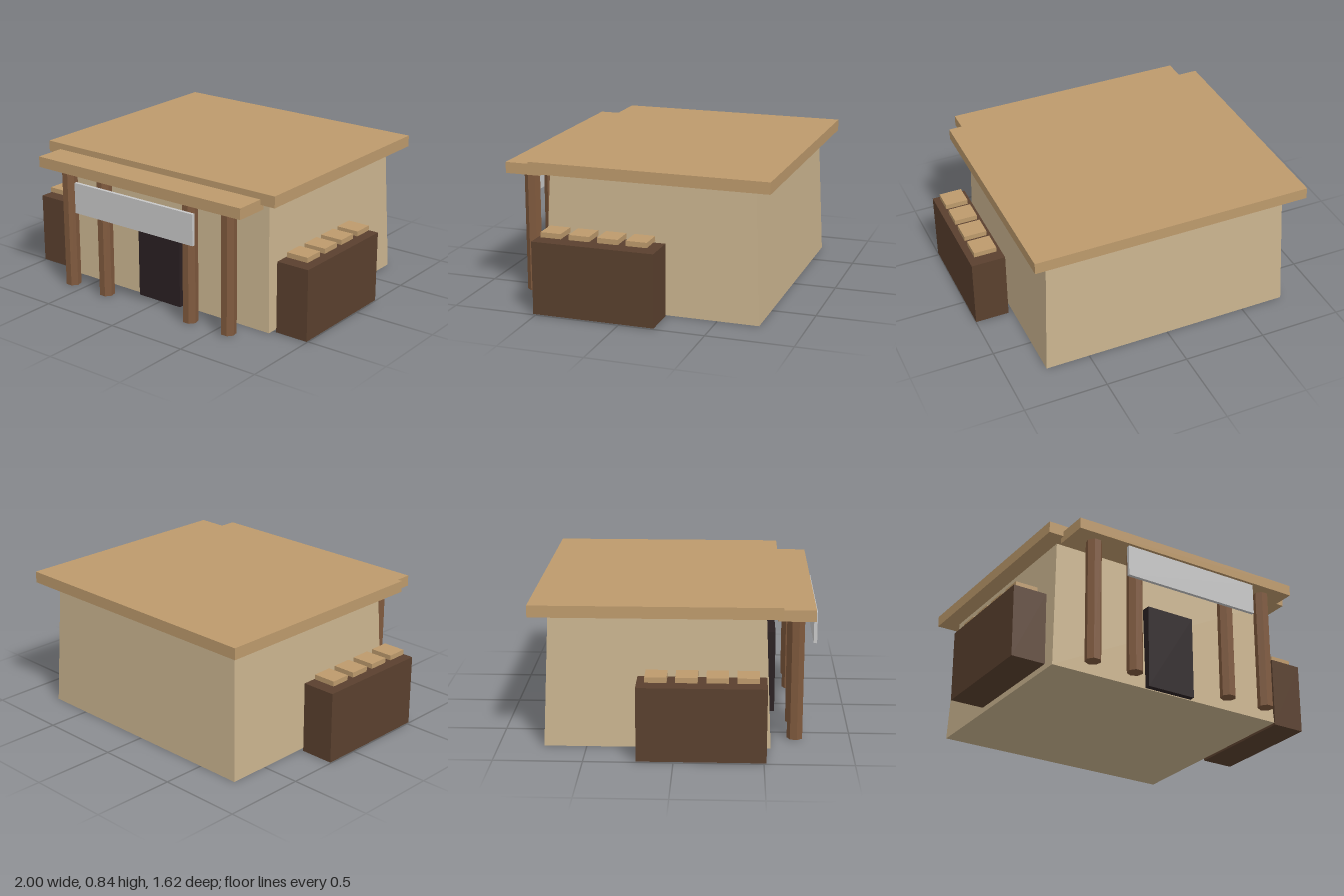
import * as THREE from 'three';

const mat = (name, color) => {
  const m = new THREE.MeshStandardMaterial({ color });
  m.name = name;
  return m;
};

export function createModel() {
  const group = new THREE.Group();
  const plaster = mat('sand plaster', 0xc9b38e);
  const roofTan = mat('roof tan', 0xbd9a6c);
  const post = mat('post brown', 0x7f593d);
  const crate = mat('dark wood', 0x5a402e);
  const door = mat('door black', 0x2a2022);
  const sign = mat('sign grey', 0xc8c8c8);

  const add = (name, geometry, material) => {
    const mesh = new THREE.Mesh(geometry, material);
    mesh.name = name;
    group.add(mesh);
    return mesh;
  };

  // box given by its extents on each axis
  const box = (name, material, [x0, x1], [y0, y1], [z0, z1]) => {
    const mesh = add(name, new THREE.BoxGeometry(x1 - x0, y1 - y0, z1 - z0), material);
    mesh.position.set((x0 + x1) / 2, (y0 + y1) / 2, (z0 + z1) / 2);
    return mesh;
  };

  // walls lean inwards towards the roof
  const wallGeo = new THREE.BoxGeometry(1.53, 0.78, 1.284);
  const p = wallGeo.attributes.position;
  for (let i = 0; i < p.count; i++) {
    if (p.getY(i) > 0) {
      p.setX(i, p.getX(i) * 0.957);
      p.setZ(i, p.getZ(i) * 0.947);
    }
  }
  wallGeo.computeVertexNormals();
  add('walls', wallGeo, plaster).position.set(0, 0.392, -0.1);

  // roof slab and porch canopy
  box('roof', roofTan, [-0.833, 0.833], [0.777, 0.845], [-0.81, 0.6]);
  box('porchCanopy', roofTan, [-0.742, 0.739], [0.743, 0.808], [0.57, 0.782]);

  // doorway and hanging sign board
  box('door', door, [-0.156, 0.152], [0.007, 0.508], [0.48, 0.577]);
  box('signBoard', sign, [-0.438, 0.433], [0.528, 0.713], [0.787, 0.807]);

  // seven-sided porch posts, flat side forward
  for (const x of [-0.593, -0.321, 0.316, 0.588]) {
    const geo = new THREE.CylinderGeometry(0.0465, 0.0465, 0.738, 7).rotateY(Math.PI).toNonIndexed();
    geo.computeVertexNormals();
    add('porchPost', geo, post).position.set(x, 0.376, 0.684);
  }

  // side counters with a row of slabs hovering just above
  for (const s of [-1, 1]) {
    const span = (a, b) => (s > 0 ? [a, b] : [-b, -a]);
    box('counter', crate, span(0.795, 1), [0.007, 0.434], [-0.206, 0.514]);
    for (let i = 0; i < 4; i++) {
      const z = 0.41 - i * 0.169;
      box('counterSlab', roofTan, span(0.829, 0.966), [0.454, 0.484], [z - 0.061, z + 0.061]);
    }
  }

  return group;
}
